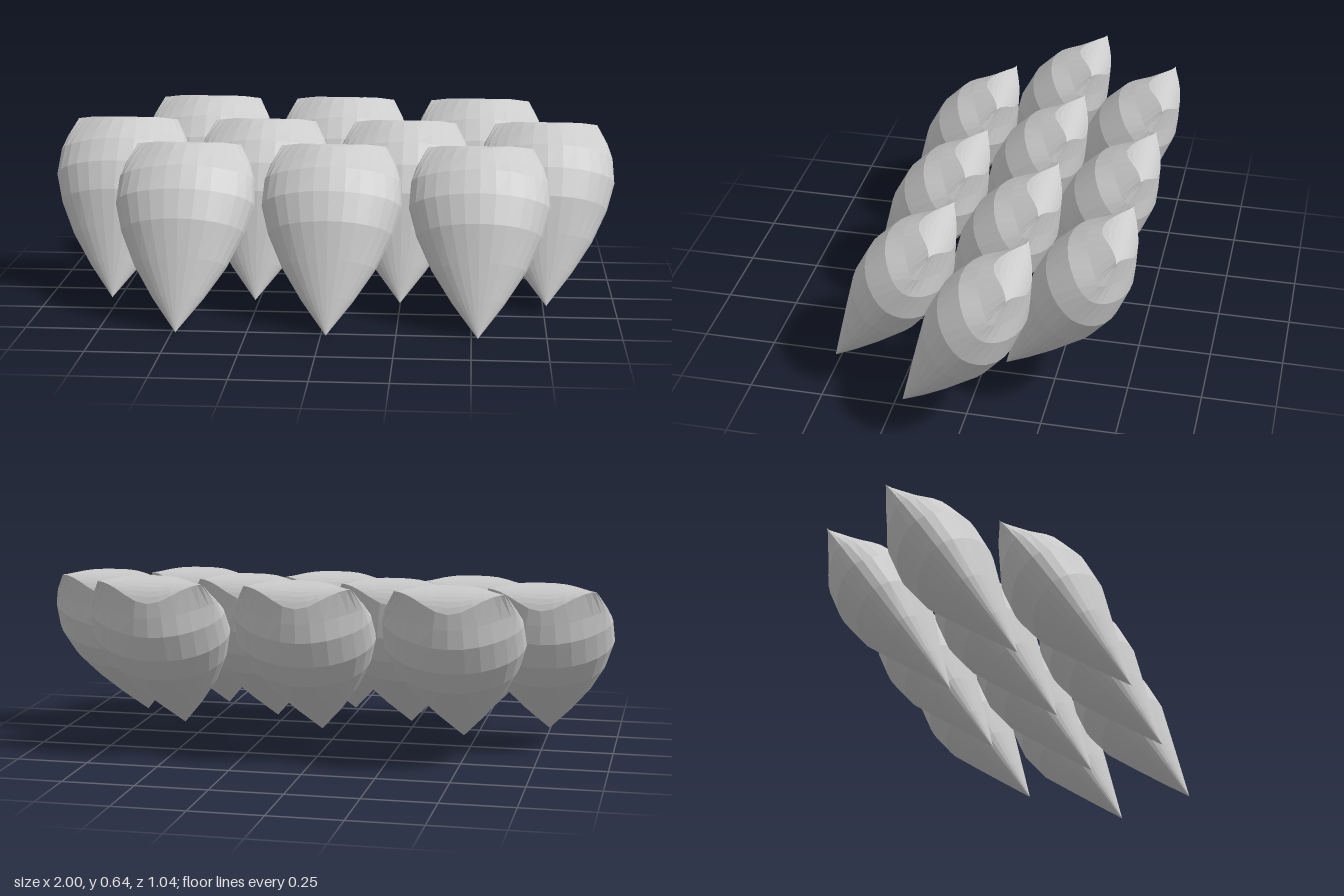
import * as THREE from 'three';

const N = 14; // strips across each face of a scale

// Cross-sections from tip to top: [height, half width, half thickness, bell]
const SECTIONS = [
  [0, 0, 0, 0],
  [0.12, 0.087, 0.046, 0],
  [0.235, 0.158, 0.09, 0],
  [0.356, 0.212, 0.136, 0],
  [0.46, 0.24, 0.147, 0],
  [0.555, 0.235, 0.129, 0.15],
  [0.612, 0.218, 0.098, 0.5],
  [0.656, 0.182, 0.07, 1],
];
const TOP = SECTIONS.length - 1;

// Thickness across the width: rounded lens along the body, bell at the top
function bulge(s, bell) {
  const lens = Math.pow(Math.max(0, 1 - s * s), 0.55);
  const wave = Math.pow(Math.max(0, (1 + Math.cos(Math.PI * s)) / 2), 0.8);
  return bell * wave + (1 - bell) * lens;
}

// One upright scale with its tip at the origin
function scaleGeometry() {
  const positions = [];
  const quad = (a, b, c, d) => positions.push(...a, ...b, ...c, ...a, ...c, ...d);

  // Point on a section; side runs from 1 at the front to -1 at the back
  const point = (row, j, side) => {
    const [h, w, t, bell] = SECTIONS[row];
    const s = -Math.cos((Math.PI * j) / N);
    const z = side * t * bulge(s, bell);
    const dome = row === TOP ? 0.031 * (1 - (z / t) ** 2) : 0;
    return [s * w, h + dome, z];
  };

  // Front and back faces
  for (let i = 0; i < TOP; i++) {
    for (let j = 0; j < N; j++) {
      quad(point(i, j, 1), point(i, j + 1, 1), point(i + 1, j + 1, 1), point(i + 1, j, 1));
      quad(point(i, j + 1, -1), point(i, j, -1), point(i + 1, j, -1), point(i + 1, j + 1, -1));
    }
  }

  // Slightly domed top
  for (let j = 0; j < N; j++) {
    for (let side = 1; side > -1; side -= 0.25) {
      quad(point(TOP, j, side), point(TOP, j + 1, side),
        point(TOP, j + 1, side - 0.25), point(TOP, j, side - 0.25));
    }
  }

  const geometry = new THREE.BufferGeometry();
  geometry.setAttribute('position', new THREE.Float32BufferAttribute(positions, 3));
  geometry.computeVertexNormals();
  return geometry;
}

export function createModel() {
  const model = new THREE.Group();
  model.name = 'overlappingScales';
  const geometry = scaleGeometry();
  const material = new THREE.MeshStandardMaterial({ color: 0xcccccc, flatShading: true });

  // Staggered rows, each a little higher and further back
  const rows = [
    { name: 'frontRow', count: 3, x: 0.017, y: 0, z: 0.52 },
    { name: 'middleRow', count: 4, x: 0, y: 0.03, z: 0.217 },
    { name: 'backRow', count: 3, x: 0.017, y: 0.06, z: -0.085 },
  ];
  for (const { name, count, x, y, z } of rows) {
    const row = new THREE.Group();
    row.name = name;
    row.position.set(x, y, z);
    for (let i = 0; i < count; i++) {
      const scale = new THREE.Mesh(geometry, material);
      scale.name = 'scale';
      scale.position.x = (i - (count - 1) / 2) * 0.505;
      scale.rotation.x = -0.604;
      row.add(scale);
    }
    model.add(row);
  }
  return model;
}
